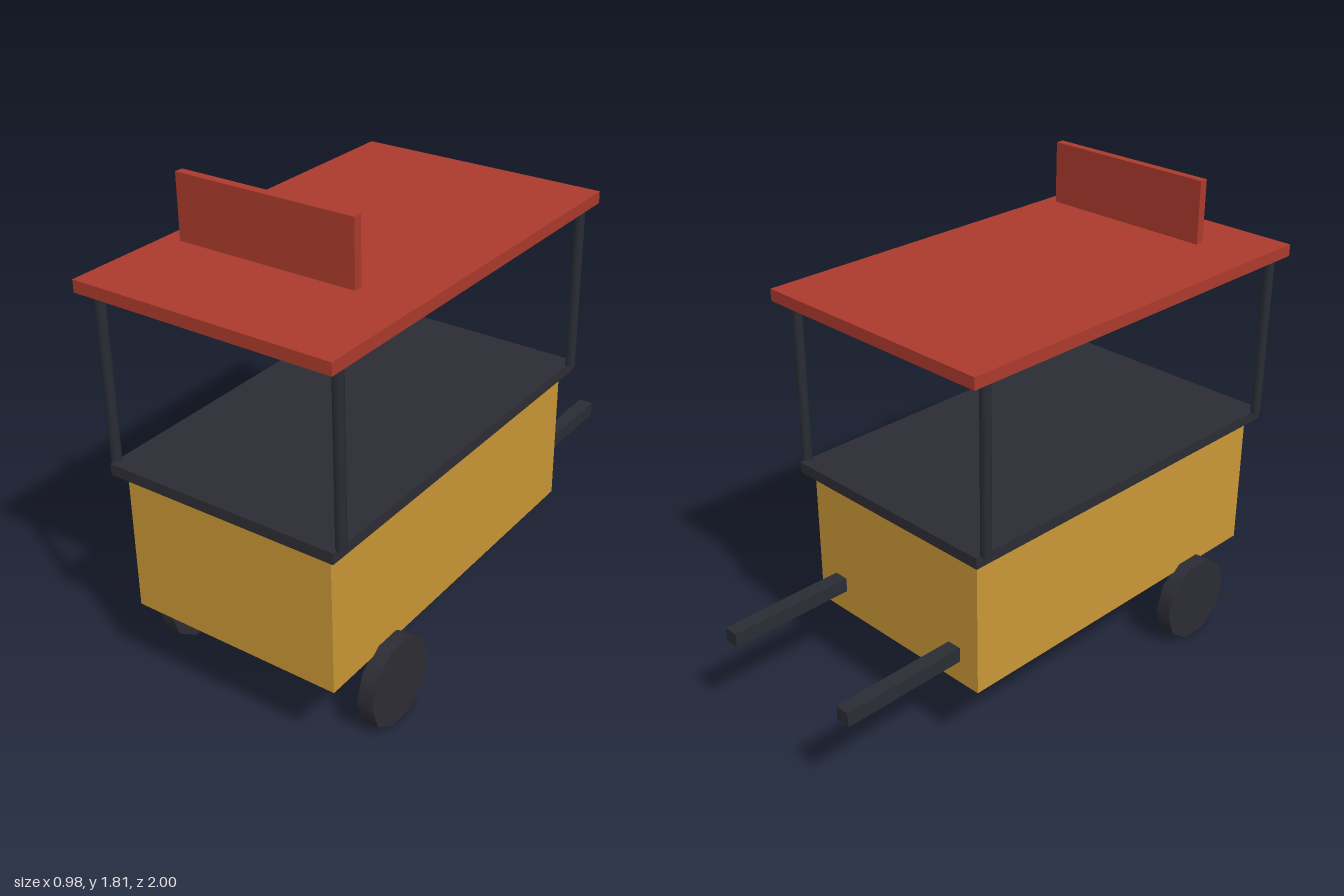
import * as THREE from 'three';

function material(name, color) {
  const m = new THREE.MeshStandardMaterial({ color });
  m.name = name;
  return m;
}

export function createModel() {
  const cart = new THREE.Group();
  cart.name = 'foodCart';

  const red = material('canopy red', 0xac3a2d);
  const yellow = material('body mustard', 0xca9736);
  const dark = material('dark rubber', 0x2c2c34);
  const metal = material('dark metal', 0x292d34);

  const add = (name, geometry, mat, x, y, z) => {
    const mesh = new THREE.Mesh(geometry, mat);
    mesh.name = name;
    mesh.position.set(x, y, z);
    cart.add(mesh);
    return mesh;
  };

  // Box given by its width about x centre, and its y and z ranges
  const box = (name, mat, w, [y0, y1], [z0, z1], x = 0) =>
    add(name, new THREE.BoxGeometry(w, y1 - y0, z1 - z0), mat, x, (y0 + y1) / 2, (z0 + z1) / 2);

  // Cabinet, counter, canopy and blank sign board
  box('cabinet', yellow, 0.826, [0.295, 0.825], [-0.51, 0.925]);
  box('counter', dark, 0.9, [0.825, 0.866], [-0.546, 0.963]);
  box('canopy', red, 0.978, [1.483, 1.527], [-0.587, 1]);
  box('signBoard', red, 0.674, [1.578, 1.807], [0.645, 0.677]);

  const wheelGeometry = new THREE.CylinderGeometry(0.167, 0.167, 0.06, 10).rotateZ(Math.PI / 2);
  const postGeometry = new THREE.CylinderGeometry(0.0187, 0.0187, 0.621, 8);

  for (const side of [1, -1]) {
    const label = side > 0 ? 'left' : 'right';

    // Wheels under the front end, push handles at the back
    add(label + 'Wheel', wheelGeometry, dark, side * 0.436, 0.159, 0.625);
    box(label + 'Handle', metal, 0.056, [0.383, 0.438], [-1, -0.5], side * 0.3);

    // Canopy posts at the counter corners
    add(label + 'FrontPost', postGeometry, metal, side * 0.456, 1.1735, 0.928);
    add(label + 'BackPost', postGeometry, metal, side * 0.456, 1.1735, -0.51);
  }

  return cart;
}
